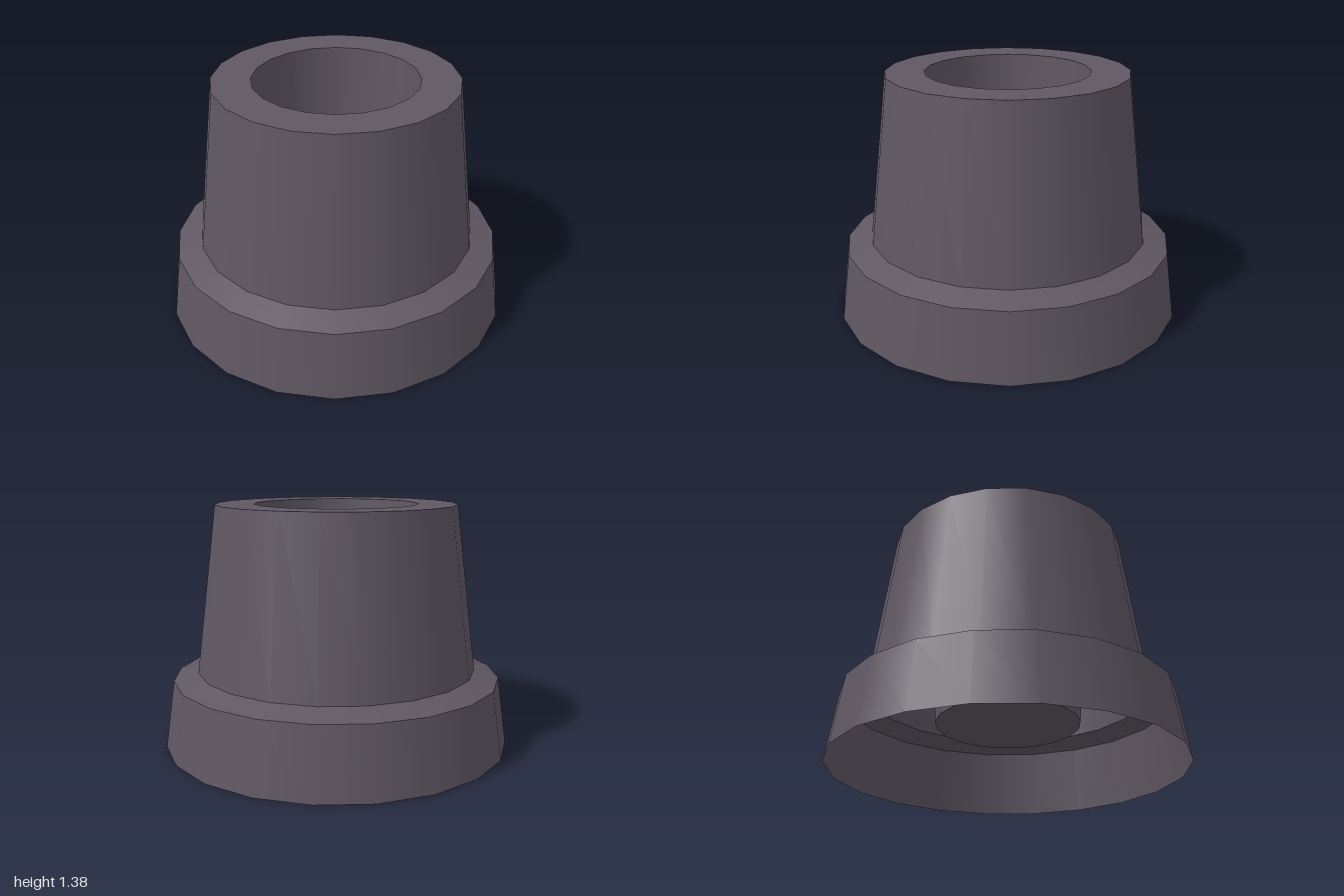
import * as THREE from 'three';

const SIDES = 20;

export function createModel() {
  const group = new THREE.Group();
  group.name = 'hollowBushing';

  const material = new THREE.MeshStandardMaterial({ color: 0x5f5762, side: THREE.DoubleSide });
  material.name = 'dark mauve grey';

  // One band of the thin shell, from [radius, height] to [radius, height];
  // separate bands stay smooth around the axis and sharp where they meet.
  const band = (name, from, to) => {
    const points = [new THREE.Vector2(...from), new THREE.Vector2(...to)];
    const mesh = new THREE.Mesh(new THREE.LatheGeometry(points, SIDES), material);
    mesh.name = name;
    group.add(mesh);
  };

  const foot = [1, 0];
  const flangeTop = [0.945, 0.39];
  const bodyBase = [0.805, 0.435];
  const rimOuter = [0.685, 1.385];
  const rimInner = [0.465, 1.385];
  const wellBase = [0.41, 0.26];

  // Outer shell, open underneath
  band('flangeWall', foot, flangeTop);
  band('flangeShoulder', flangeTop, bodyBase);
  band('taperedBody', bodyBase, rimOuter);
  band('topRim', rimOuter, rimInner);

  // Inner cup hanging from the rim
  band('wellWall', rimInner, wellBase);
  band('wellFloor', wellBase, [0, wellBase[1]]);

  return group;
}
